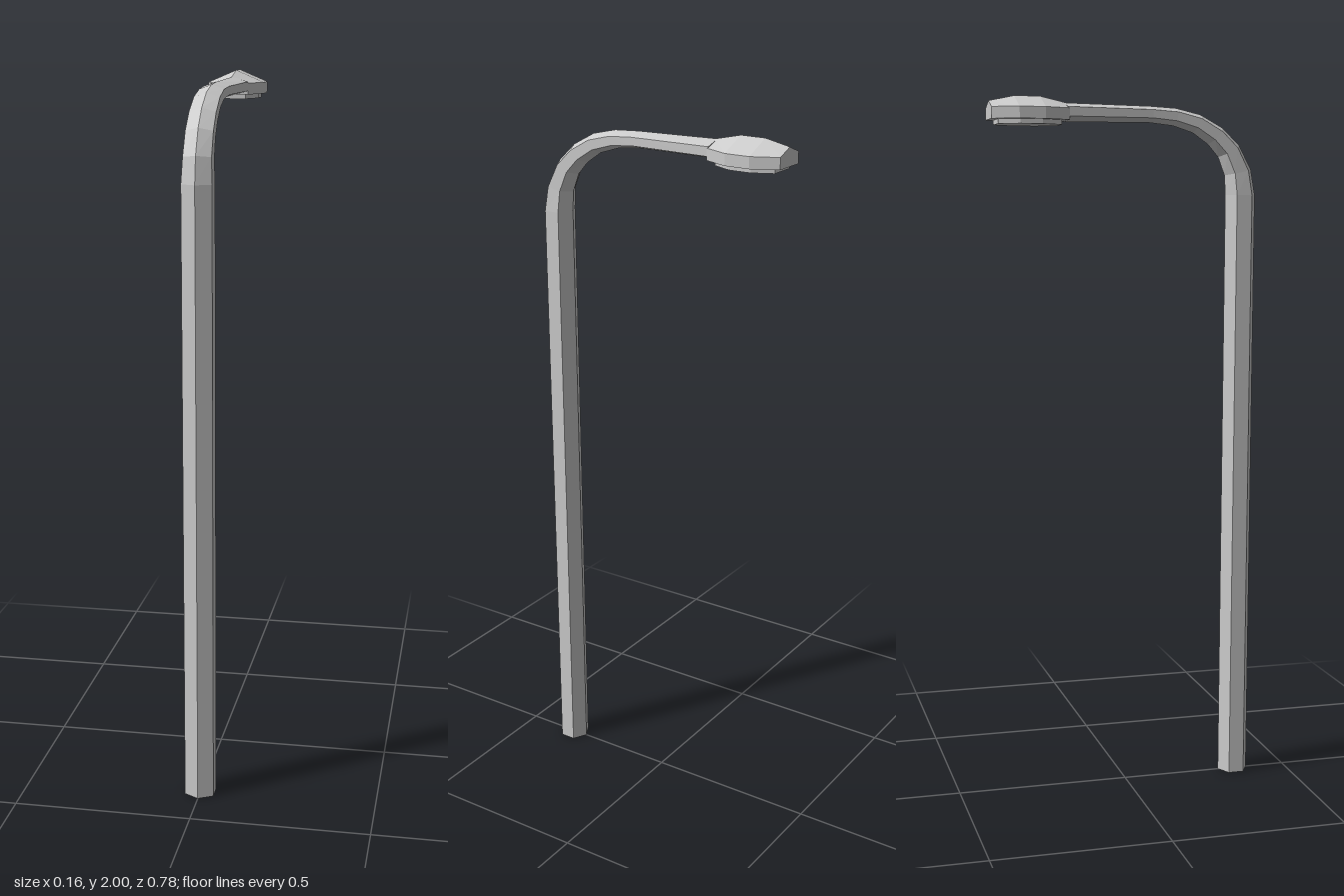
import * as THREE from 'three';

const material = new THREE.MeshStandardMaterial({ color: 0xcccccc, flatShading: true });

// Skin a row of equal-sized rings of points and cap both ends.
function loft(name, rings) {
  const pos = [];
  const tri = (a, b, c) => pos.push(...a, ...b, ...c);
  const n = rings[0].length;
  for (let s = 0; s < rings.length - 1; s++) {
    for (let i = 0; i < n; i++) {
      const j = (i + 1) % n;
      const [a, b, c, d] = [rings[s][i], rings[s][j], rings[s + 1][j], rings[s + 1][i]];
      tri(a, b, c);
      tri(a, c, d);
    }
  }
  const first = rings[0], last = rings[rings.length - 1];
  for (let i = 1; i < n - 1; i++) {
    tri(first[0], first[i + 1], first[i]);
    tri(last[0], last[i], last[i + 1]);
  }
  const geometry = new THREE.BufferGeometry();
  geometry.setAttribute('position', new THREE.Float32BufferAttribute(pos, 3));
  geometry.computeVertexNormals();
  const mesh = new THREE.Mesh(geometry, material);
  mesh.name = name;
  return mesh;
}

// Six-sided section with a ridge facing the outside of the bend.
function hexRing([z, y, degrees, halfWidth, halfDepth]) {
  const a = THREE.MathUtils.degToRad(degrees);
  const corners = [[0, 1], [1, 0.5], [1, -0.5], [0, -1], [-1, -0.5], [-1, 0.5]];
  return corners.map(([u, v]) => [
    u * halfWidth,
    y + v * halfDepth * Math.sin(a),
    z + v * halfDepth * Math.cos(a),
  ]);
}

export function createModel() {
  const group = new THREE.Group();
  group.name = 'streetLamp';

  // Pole, bend and arm: z, y, turn, half width, half depth
  const stations = [
    [0.338, 0, 0, 0.041, 0.045],
    [0.345, 1.73, 0, 0.041, 0.045],
    [0.337, 1.795, 12, 0.038, 0.041],
    [0.309, 1.855, 28, 0.037, 0.036],
    [0.268, 1.897, 47, 0.036, 0.032],
    [0.212, 1.931, 66, 0.035, 0.028],
    [0.146, 1.949, 80, 0.034, 0.025],
    [0.074, 1.955, 87, 0.035, 0.023],
    [-0.175, 1.957, 90, 0.047, 0.026],
  ];
  group.add(loft('poleAndArm', stations.map(hexRing)));

  // Lamp head with a ridged roof: z, half width, ridge height
  const headStations = [
    [-0.17, 0.047, 1.983],
    [-0.245, 0.081, 2.0],
    [-0.318, 0.081, 2.0],
    [-0.39, 0.048, 1.985],
  ];
  group.add(loft('lampHead', headStations.map(([z, w, ridge]) => [
    [0, ridge, z], [w, 1.966, z], [w, 1.934, z], [-w, 1.934, z], [-w, 1.966, z],
  ])));

  // Light panel set under the head
  const panelStations = [[-0.19, 0.037], [-0.25, 0.065], [-0.313, 0.065], [-0.37, 0.039]];
  group.add(loft('lightPanel', panelStations.map(([z, w]) => [
    [w, 1.936, z], [w, 1.921, z], [-w, 1.921, z], [-w, 1.936, z],
  ])));

  return group;
}
